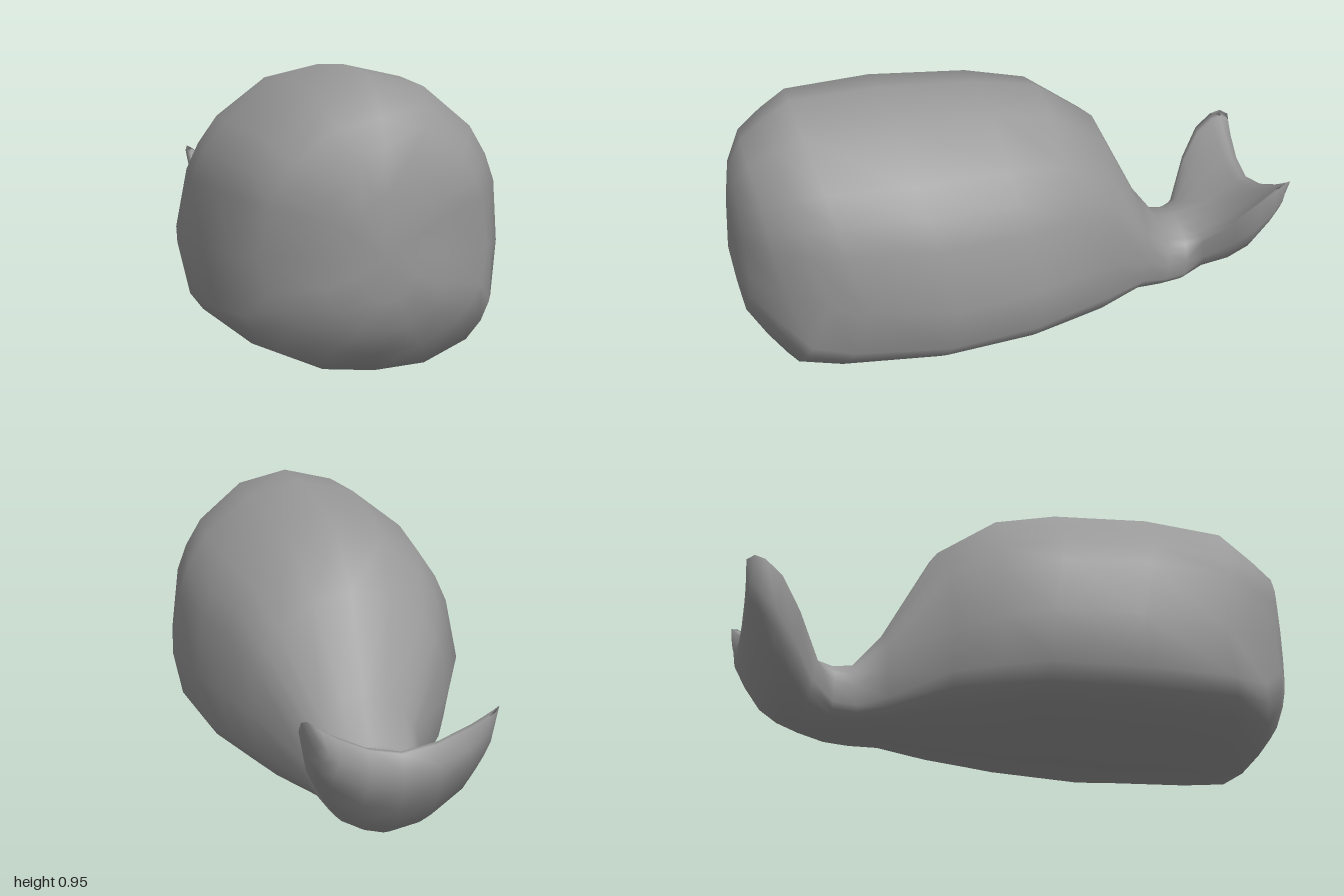
import * as THREE from 'three';

// Shares of the half width, from the centre line out to the side line
const SHARES = [0, 0.38, 0.72, 0.85, 0.93, 1];

// Quarter outlines: how far a point at share u goes from the side line to the spine or keel
const round = (u) => Math.sqrt(1 - u * u);
const boxy = (u) => (1 - u ** 2.5) ** 0.4;
const scooped = (u) => 1 - u ** 1.7;

// Stations: half width, then [y, z] of the spine, the side line and the keel
const NOSE = [
  [0.1, [0.6, 0.987], [0.4, 0.98], [0.27, 0.983]],
  [0.2, [0.73, 0.967], [0.4, 0.952], [0.17, 0.967]],
  [0.365, [0.82, 0.92], [0.4, 0.85], [0.09, 0.91]],
];
const BODY = [
  [0.43, [0.885, 0.84], [0.38, 0.72], [0.025, 0.85]],
  [0.49, [0.94, 0.75], [0.37, 0.6], [0.015, 0.7]],
  [0.53, [0.95, 0.45], [0.35, 0.3], [0, 0.35]],
  [0.49, [0.925, 0.1], [0.35, 0], [0, 0]],
  [0.425, [0.88, -0.12], [0.34, -0.15], [0, -0.15]],
  [0.355, [0.73, -0.33], [0.31, -0.3], [0.005, -0.3]],
  [0.2, [0.4, -0.5], [0.19, -0.5], [0.015, -0.48]],
  [0.17, [0.27, -0.6], [0.14, -0.6], [0.01, -0.58]],
  [0.163, [0.258, -0.67], [0.15, -0.67], [0.015, -0.67]],
];
// The side line rises above the spine into two upturned tips
const FLUKES = [
  [0.165, [0.275, -0.74], [0.22, -0.73], [0.03, -0.76]],
  [0.26, [0.295, -0.81], [0.35, -0.81], [0.065, -0.83]],
  [0.305, [0.33, -0.87], [0.45, -0.88], [0.11, -0.89]],
  [0.31, [0.365, -0.92], [0.5, -0.94], [0.19, -0.945]],
  [0.3, [0.382, -0.945], [0.515, -0.975], [0.265, -0.985]],
  [0.28, [0.38, -0.962], [0.505, -1], [0.33, -0.985]],
];

// Closed rings from the keel, anticlockwise as seen from the front
function makeRings(stations, upper, lower) {
  return stations.map(([w, spine, side, keel]) => {
    const point = (u, end, t) => [w * u, side[0] + (end[0] - side[0]) * t, side[1] + (end[1] - side[1]) * t];
    const low = SHARES.map((u) => point(u, keel, lower(u)));
    const high = SHARES.slice(0, -1).map((u) => point(u, spine, upper(u)));
    const left = [...low, ...high.reverse()];
    const right = left.slice(1, -1).reverse().map(([x, y, z]) => [-x, y, z]);
    return [...left, ...right];
  });
}

// Smooth skin over the rings, from a single nose point to a closed trailing edge
function skin(nose, rings) {
  const n = rings[0].length, last = 1 + (rings.length - 1) * n;
  const index = [];
  for (let i = 0; i < n; i++) {
    const j = (i + 1) % n;
    index.push(0, 1 + i, 1 + j);
    for (let a = 1; a < last; a += n) {
      const b = a + n;
      index.push(a + i, b + i, a + j, a + j, b + i, b + j);
    }
  }
  // Trailing edge: strip between the lower and upper halves of the last ring
  for (let i = -n / 4; i < n / 4; i++) {
    const low = last + (i + n) % n, nextLow = last + (i + n + 1) % n;
    const high = last + n / 2 - i, nextHigh = high - 1;
    index.push(low, high, nextHigh, low, nextHigh, nextLow);
  }
  const geometry = new THREE.BufferGeometry();
  geometry.setAttribute('position', new THREE.Float32BufferAttribute([...nose, ...rings.flat(2)], 3));
  geometry.setIndex(index);
  geometry.computeVertexNormals();
  return geometry;
}

export function createModel() {
  const group = new THREE.Group();
  group.name = 'whale';
  const material = new THREE.MeshStandardMaterial({ color: 0x999999 });
  // Body and tail flukes are one continuous skin
  const rings = [
    ...makeRings(NOSE, round, round),
    ...makeRings(BODY, round, boxy),
    ...makeRings(FLUKES, scooped, round),
  ];
  const body = new THREE.Mesh(skin([0, 0.41, 1], rings), material);
  body.name = 'bodyWithTailFlukes';
  group.add(body);
  return group;
}
